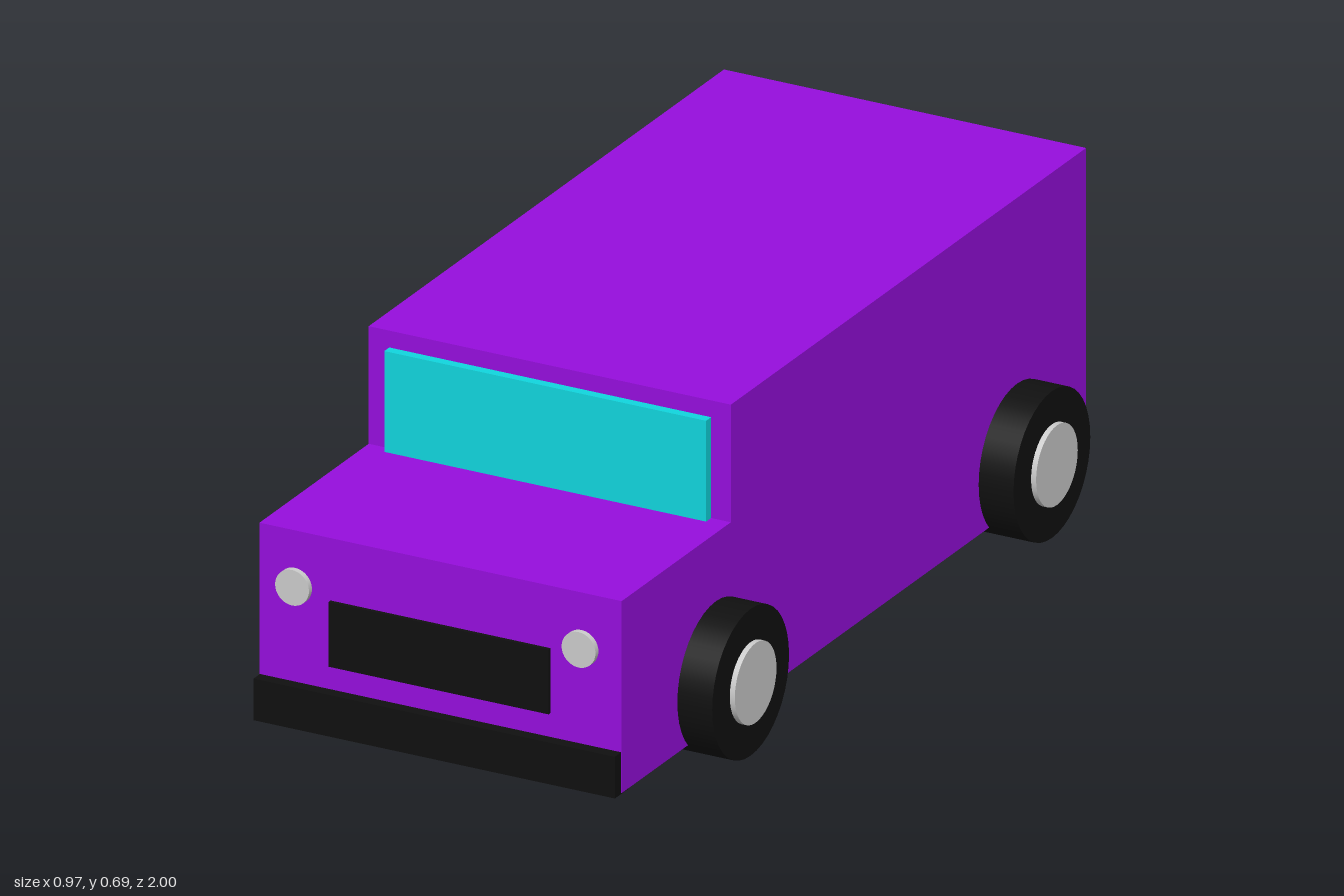
import * as THREE from 'three';

const paint = (color) => new THREE.MeshStandardMaterial({ color });
const purple = paint(0x960edd);
const cyan = paint(0x11d6de);
const black = paint(0x101010);
const grey = paint(0xcccccc);
const steel = paint(0x808080);
const red = paint(0xcc0c0c);

export function createModel() {
  const van = new THREE.Group();
  van.name = 'van';

  const add = (name, geometry, material, x, y, z) => {
    const mesh = new THREE.Mesh(geometry, material);
    mesh.name = name;
    mesh.position.set(x, y, z);
    van.add(mesh);
    return mesh;
  };
  // Box given by its extents on each axis
  const box = (name, material, [x0, x1], [y0, y1], [z0, z1]) =>
    add(name, new THREE.BoxGeometry(x1 - x0, y1 - y0, z1 - z0), material,
      (x0 + x1) / 2, (y0 + y1) / 2, (z0 + z1) / 2);
  const cylinderX = (r, length) => new THREE.CylinderGeometry(r, r, length, 40).rotateZ(Math.PI / 2);
  const cylinderZ = (r, length) => new THREE.CylinderGeometry(r, r, length, 32).rotateX(Math.PI / 2);

  // Body: stepped side profile (z, y) extruded across the width
  const profile = new THREE.Shape([
    [-0.875, 0.05], [0.975, 0.05], [0.975, 0.45],
    [0.54, 0.45], [0.54, 0.695], [-0.875, 0.695],
  ].map(([z, y]) => new THREE.Vector2(-z, y)));
  const bodyGeometry = new THREE.ExtrudeGeometry(profile, { depth: 0.79, bevelEnabled: false });
  bodyGeometry.rotateY(Math.PI / 2);
  add('body', bodyGeometry, purple, -0.39, 0, 0);

  // Front
  box('windshield', cyan, [-0.345, 0.357], [0.45, 0.66], [0.53, 0.56]);
  box('grille', black, [-0.235, 0.245], [0.185, 0.32], [0.96, 0.983]);
  box('frontBumper', black, [-0.389, 0.399], [0.048, 0.135], [0.945, 1]);

  // Rear
  box('rearWindow', cyan, [-0.195, 0.203], [0.385, 0.62], [-0.888, -0.86]);
  box('rearPlate', grey, [-0.148, 0.158], [0.205, 0.355], [-0.879, -0.86]);
  add('exhaustPipe', cylinderZ(0.058, 0.145), steel, -0.19, 0.132, -0.92);
  add('exhaustOpening', cylinderZ(0.028, 0.1), black, -0.19, 0.13, -0.95);

  // Lights and wheels, mirrored left and right
  for (const side of [-1, 1]) {
    add('headlight', cylinderZ(0.037, 0.03), grey, side * 0.3125, 0.335, 0.972);
    const tail = add('tailLight', cylinderZ(1, 0.03), red, side * 0.3125 + 0.005, 0.367, -0.871);
    tail.scale.set(0.036, 0.127, 1);
    for (const z of [0.6, -0.6]) {
      add('tire', cylinderX(0.153, 0.18), black, side * 0.386, 0.155, z);
      add('hub', cylinderX(0.083, 0.1), grey, side * 0.437, 0.156, z);
    }
  }
  return van;
}
